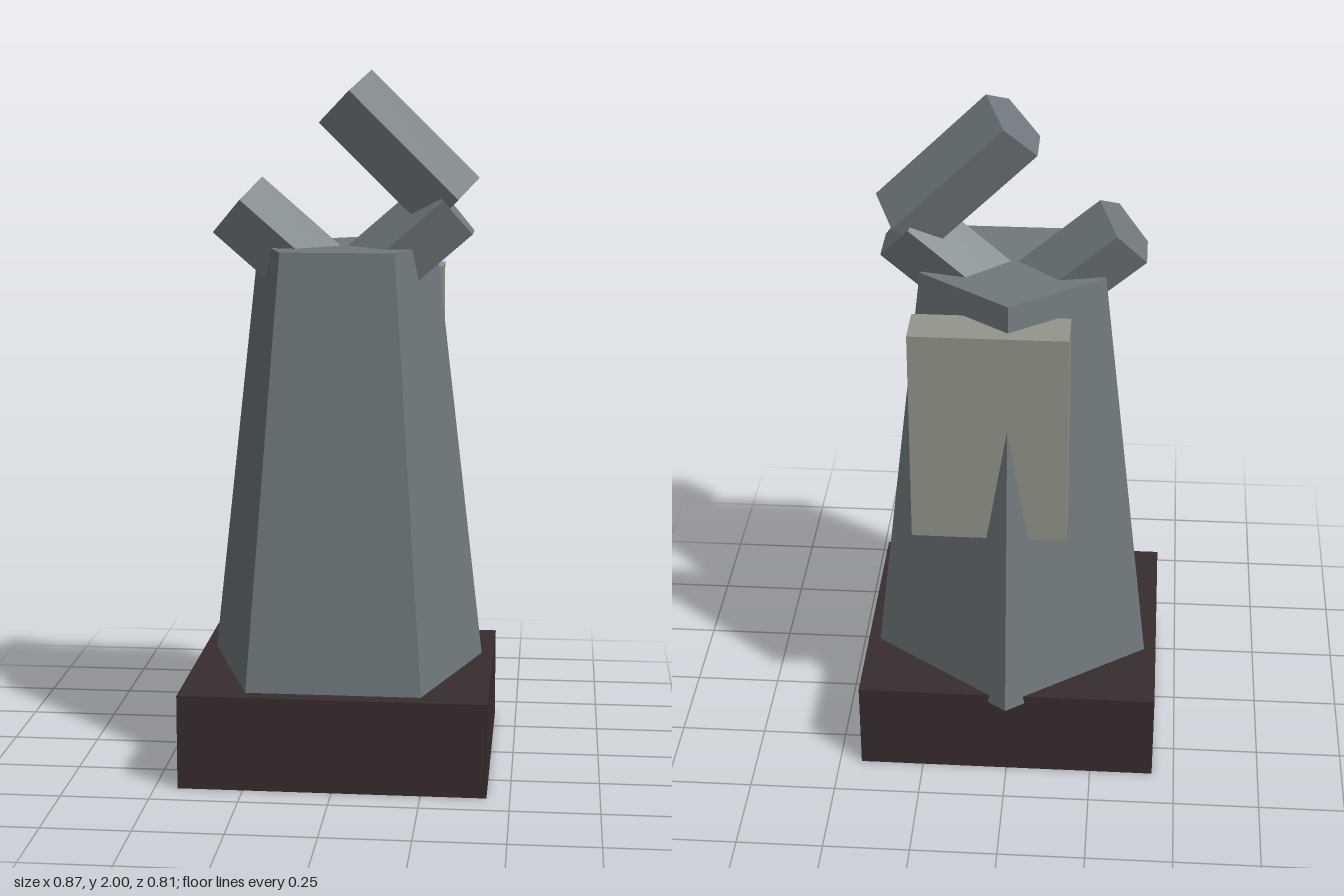
import * as THREE from 'three';

export function createModel() {
  const model = new THREE.Group();
  const paint = (name, color) => {
    const m = new THREE.MeshStandardMaterial({ color, flatShading: true });
    m.name = name;
    return m;
  };
  const steel = paint('blue grey steel', 0x70797d);
  const plinthBrown = paint('dark brown', 0x382d2e);
  const panelGrey = paint('warm grey', 0x94968a);

  const add = (name, geometry, material, x, y, z) => {
    const mesh = new THREE.Mesh(geometry, material);
    mesh.name = name;
    mesh.position.set(x, y, z);
    model.add(mesh);
    return mesh;
  };

  // Square plinth
  add('base', new THREE.BoxGeometry(0.87, 0.27, 0.775), plinthBrown, 0, 0.135, 0.0175);

  // Tapered five-sided tower with one corner pointing back
  const tower = new THREE.CylinderGeometry(0.272, 0.424, 1.255, 5);
  tower.rotateY(Math.PI);
  add('tower', tower, steel, 0, 0.8725, 0.015);

  // Off-centre plate set into the back
  add('backPanel', new THREE.BoxGeometry(0.44, 0.645, 0.13), panelGrey, 0.0525, 1.1025, -0.236);

  // Five-sided bar along x with its ridge up, tilted about z
  const bar = (name, length, x, y, degrees) => {
    const g = new THREE.CylinderGeometry(0.113, 0.113, length, 5);
    g.rotateX(-Math.PI / 2);
    g.rotateY(Math.PI / 2);
    add(name, g, steel, x, y, 0.018).rotation.z = THREE.MathUtils.degToRad(degrees);
  };

  // Mirrored arms rising out of the tower top
  const length = 0.4, tilt = 41, a = THREE.MathUtils.degToRad(tilt);
  for (const side of [-1, 1]) {
    bar(side < 0 ? 'rightArm' : 'leftArm', length,
      side * (0.309 - Math.cos(a) * length / 2), 1.61 - Math.sin(a) * length / 2, side * tilt);
  }

  // Forearm folded back over the left arm
  bar('leftForearm', 0.43, 0.152, 1.766, -44.5);

  return model;
}
